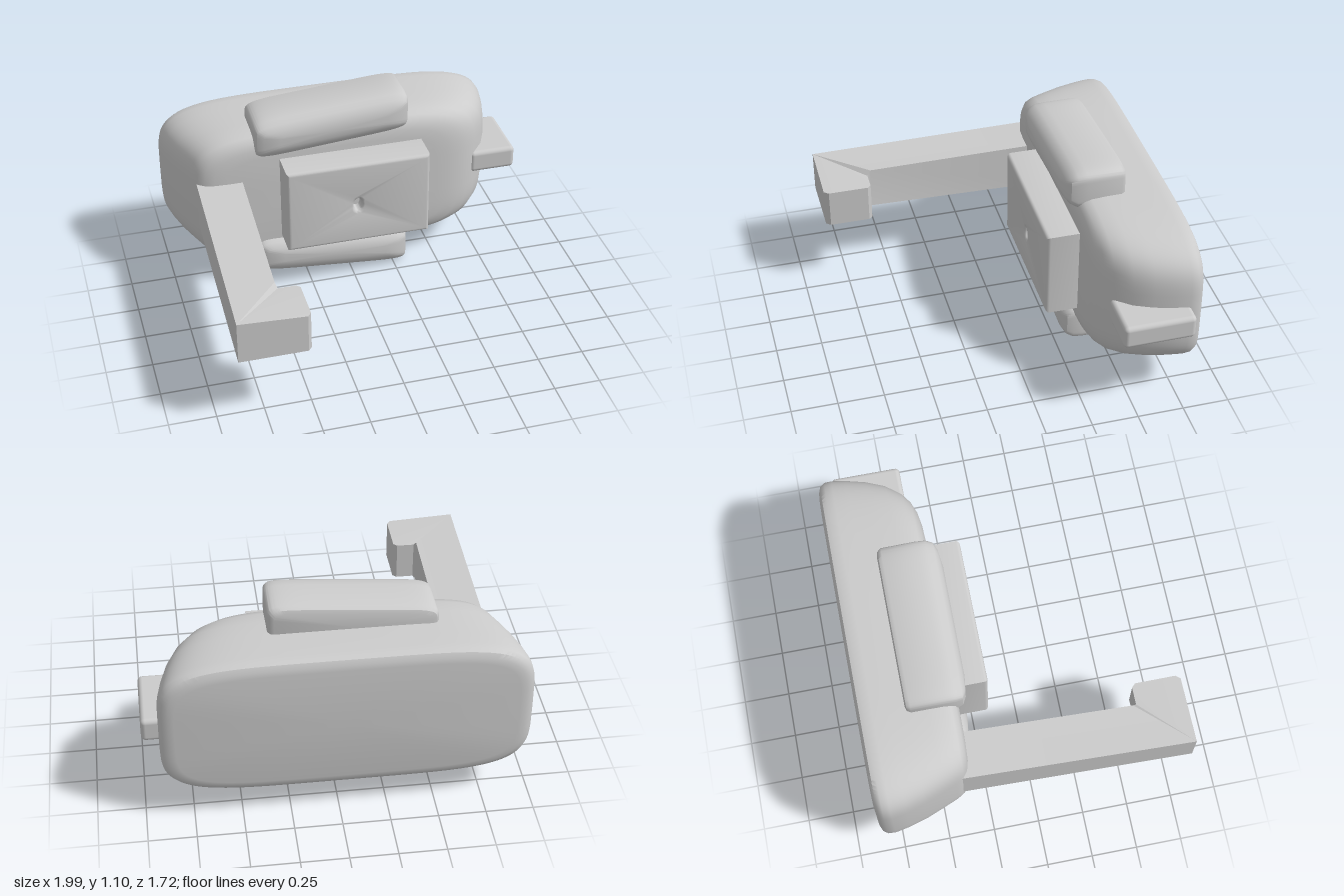
import * as THREE from 'three';
import { RoundedBoxGeometry } from 'three/addons/geometries/RoundedBoxGeometry.js';
import { toCreasedNormals } from 'three/addons/utils/BufferGeometryUtils.js';

const material = new THREE.MeshStandardMaterial({ color: 0xcccccc });

function addPart(group, name, geometry, x = 0, y = 0, z = 0) {
  const mesh = new THREE.Mesh(geometry, material);
  mesh.name = name;
  mesh.position.set(x, y, z);
  group.add(mesh);
  return mesh;
}

// Skin over squared-off oval sections [z, xMin, xMax, yMin, yMax], from back to front.
function loft(sections, power, slope = 0, sides = 96) {
  const points = [], index = [];
  const bend = (v) => Math.sign(v) * Math.abs(v) ** (2 / power);
  const push = (x, y, z) => points.push(x, y + slope * x, z);
  for (const [z, x0, x1, y0, y1] of sections) {
    for (let i = 0; i < sides; i++) {
      const a = (i / sides) * Math.PI * 2;
      push((x0 + x1) / 2 + ((x1 - x0) / 2) * bend(Math.cos(a)),
        (y0 + y1) / 2 + ((y1 - y0) / 2) * bend(Math.sin(a)), z);
    }
  }
  const rows = sections.length;
  for (let r = 0; r < rows - 1; r++) {
    for (let i = 0; i < sides; i++) {
      const a = r * sides + i, b = r * sides + ((i + 1) % sides);
      index.push(a, b, b + sides, a, b + sides, a + sides);
    }
  }
  // end caps
  for (const r of [0, rows - 1]) {
    const [z, x0, x1, y0, y1] = sections[r];
    const centre = points.length / 3;
    push((x0 + x1) / 2, (y0 + y1) / 2, z);
    for (let i = 0; i < sides; i++) {
      const a = r * sides + i, b = r * sides + ((i + 1) % sides);
      if (r === 0) index.push(centre, b, a);
      else index.push(centre, a, b);
    }
  }
  const geometry = new THREE.BufferGeometry();
  geometry.setAttribute('position', new THREE.Float32BufferAttribute(points, 3));
  geometry.setIndex(index);
  return toCreasedNormals(geometry, 0.7);
}

// Flat plate with a small recess in its front
function plateGeometry() {
  const bevel = 0.02, w = 0.405 - bevel, h = 0.25 - bevel;
  const shape = new THREE.Shape([[-w, -h], [w, -h], [w, h], [-w, h]].map((p) => new THREE.Vector2(...p)));
  const hole = new THREE.Path();
  hole.absellipse(-0.005, -0.01, 0.045, 0.058, 0, Math.PI * 2, true);
  shape.holes.push(hole);
  const geometry = new THREE.ExtrudeGeometry(shape, {
    depth: 0.2, bevelSize: bevel, bevelThickness: bevel, bevelSegments: 4, curveSegments: 10,
  });
  return toCreasedNormals(geometry, 0.6);
}

// L-shaped arm drawn in plan, with a top that sinks towards the tip
function armGeometry() {
  const outline = [[-0.855, -0.5], [-0.605, -0.5], [-0.635, 0.57], [-0.625, 0.59], [-0.53, 0.59],
    [-0.51, 0.61], [-0.51, 0.83], [-0.53, 0.855], [-0.89, 0.855]];
  const shape = new THREE.Shape(outline.map(([x, z]) => new THREE.Vector2(x, -z)));
  const geometry = new THREE.ExtrudeGeometry(shape, { depth: 1, bevelEnabled: false });
  geometry.rotateX(-Math.PI / 2);
  const p = geometry.attributes.position;
  for (let i = 0; i < p.count; i++) {
    const x = p.getX(i), z = p.getZ(i);
    const top = x > -0.63 && z > 0 ? 0.633 : 0.685 - 0.028 * (z + 0.34);
    p.setY(i, p.getY(i) > 0.5 ? top : 0.417);
  }
  return toCreasedNormals(geometry, 0.6);
}

export function createModel() {
  const group = new THREE.Group();
  group.name = 'model';

  // Main shell, narrowing towards the front
  addPart(group, 'body', loft([
    [-0.862, -0.92, 0.83, 0.215, 0.89],
    [-0.858, -0.95, 0.86, 0.19, 0.92],
    [-0.845, -0.98, 0.89, 0.168, 0.945],
    [-0.82, -0.996, 0.907, 0.157, 0.954],
    [-0.78, -0.998, 0.908, 0.152, 0.957],
    [-0.7, -0.982, 0.893, 0.15, 0.958],
    [-0.6, -0.952, 0.865, 0.147, 0.96],
    [-0.5, -0.912, 0.82, 0.145, 0.96],
    [-0.42, -0.878, 0.755, 0.147, 0.957],
    [-0.38, -0.855, 0.7, 0.16, 0.945],
    [-0.355, -0.82, 0.64, 0.18, 0.92],
    [-0.342, -0.77, 0.57, 0.22, 0.88],
    [-0.338, -0.7, 0.5, 0.27, 0.83],
  ], 4.8));

  // Tilted pads, mirrored above and below the body's middle
  const middle = 0.556;
  for (const side of [1, -1]) {
    const sections = [
      [-0.612, -0.5, 0.3, 0.34, 0.5],
      [-0.605, -0.525, 0.32, 0.318, 0.522],
      [-0.585, -0.537, 0.333, 0.305, 0.534],
      [-0.4, -0.537, 0.335, 0.3, 0.535],
      [-0.35, -0.535, 0.332, 0.302, 0.53],
      [-0.315, -0.525, 0.32, 0.325, 0.51],
      [-0.295, -0.49, 0.28, 0.35, 0.485],
      [-0.283, -0.4, 0.2, 0.38, 0.45],
    ].map(([z, x0, x1, lo, hi]) => [z, x0, x1,
      middle + (side > 0 ? lo : -hi), middle + (side > 0 ? hi : -lo)]);
    addPart(group, side > 0 ? 'upperPad' : 'lowerPad', loft(sections, 7, 0.085 * side));
  }

  // Front plate with its recess floor
  addPart(group, 'frontPlate', plateGeometry(), 0.005, 0.552, -0.382);
  addPart(group, 'recessFloor', new THREE.BoxGeometry(0.1, 0.12, 0.1), 0, 0.54, -0.28);

  // Long hooked arm on the right and short tab on the left
  addPart(group, 'arm', armGeometry());
  addPart(group, 'sideTab', new RoundedBoxGeometry(0.265, 0.132, 0.385, 4, 0.025), 0.863, 0.547, -0.595);

  return group;
}
